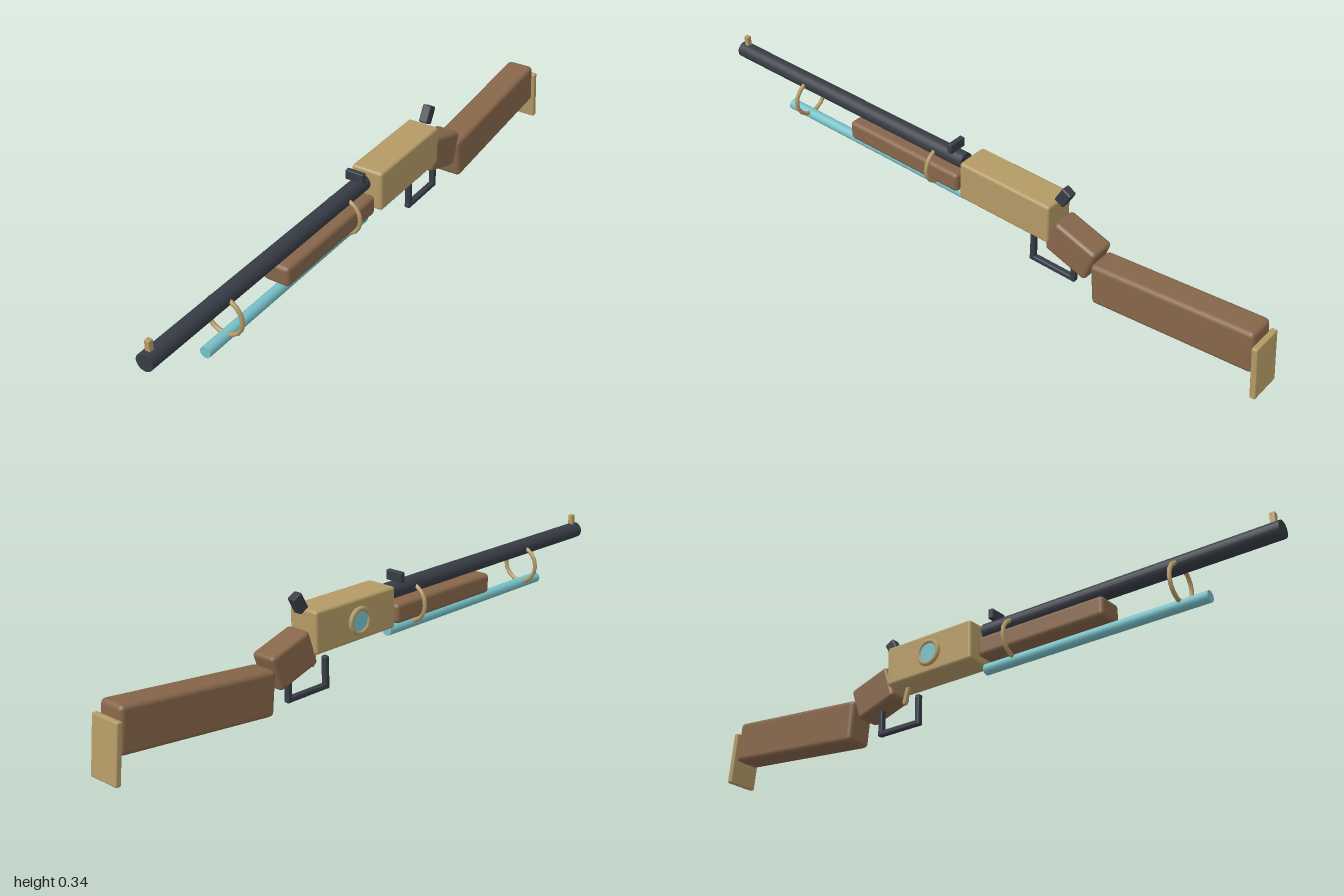
import * as THREE from 'three';
import { RoundedBoxGeometry } from 'three/addons/geometries/RoundedBoxGeometry.js';

const material = (name, color) => {
  const m = new THREE.MeshStandardMaterial({ color });
  m.name = name;
  return m;
};

export function createModel() {
  const root = new THREE.Group();
  root.name = 'leverRifle';
  const steel = material('dark steel', 0x373c45);
  const brass = material('brass', 0xb49a66);
  const wood = material('walnut', 0x86664a);
  const teal = material('teal', 0x78c0c8);

  const add = (name, geometry, mat, x, y, z, tilt = 0) => {
    const mesh = new THREE.Mesh(geometry, mat);
    mesh.name = name;
    mesh.position.set(x, y, z);
    mesh.rotation.x = tilt;
    root.add(mesh);
    return mesh;
  };
  // Soft-edged box centred on x = 0, tilted in the side plane
  const box = (name, mat, w, h, d, y, z, tilt = 0, r = 0.004) =>
    add(name, new RoundedBoxGeometry(w, h, d, 2, r), mat, 0, y, z, tilt);
  // Rod lying along z between two ends
  const rod = (name, mat, r, y, z0, z1) =>
    add(name, new THREE.CylinderGeometry(r, r, z1 - z0, 20), mat, 0, y, (z0 + z1) / 2, Math.PI / 2);

  // Barrel, tube below it and wooden forend
  rod('barrel', steel, 0.026, 0.256, 0.04, 1);
  rod('magazineTube', teal, 0.017, 0.135, 0.04, 0.78);
  box('forend', wood, 0.087, 0.063, 0.435, 0.193, 0.257, 0, 0.013);

  // Bands joining barrel and tube
  for (const z of [0.145, 0.695])
    add('barrelBand', new THREE.TorusGeometry(0.059, 0.0065, 8, 16), brass, 0, 0.2, z);

  // Sights
  box('frontSight', brass, 0.016, 0.045, 0.016, 0.29, 0.977, 0, 0.002);
  box('rearSight', steel, 0.06, 0.031, 0.017, 0.296, 0.078, 0, 0.003);

  // Receiver and hammer
  box('receiver', brass, 0.104, 0.127, 0.325, 0.224, -0.142, 0, 0.009);
  box('hammer', steel, 0.029, 0.056, 0.034, 0.308, -0.322, -0.5, 0.005);

  // Round inlay on the right face
  const ring = add('inlayRing', new THREE.TorusGeometry(0.036, 0.0075, 8, 20), brass, -0.057, 0.222, -0.135);
  ring.rotation.y = Math.PI / 2;
  const disc = add('inlayDisc', new THREE.CylinderGeometry(0.034, 0.034, 0.009, 24), teal, -0.055, 0.222, -0.135);
  disc.rotation.z = Math.PI / 2;

  // Trigger and lever loop
  box('trigger', brass, 0.014, 0.07, 0.013, 0.142, -0.266, 0.25, 0.003);
  box('leverFront', steel, 0.019, 0.1, 0.017, 0.076, -0.219, 0, 0.005);
  box('leverBottom', steel, 0.019, 0.017, 0.165, 0.035, -0.292, 0, 0.005);
  box('leverRear', steel, 0.019, 0.1, 0.017, 0.076, -0.366, 0, 0.005);

  // Wrist, stock and butt plate
  box('wrist', wood, 0.084, 0.11, 0.15, 0.161, -0.374, -0.31, 0.012);
  box('stock', wood, 0.09, 0.133, 0.517, 0.116, -0.71, 0.1, 0.014);
  box('buttPlate', brass, 0.104, 0.17, 0.018, 0.088, -0.981, 0.1, 0.005);

  return root;
}
